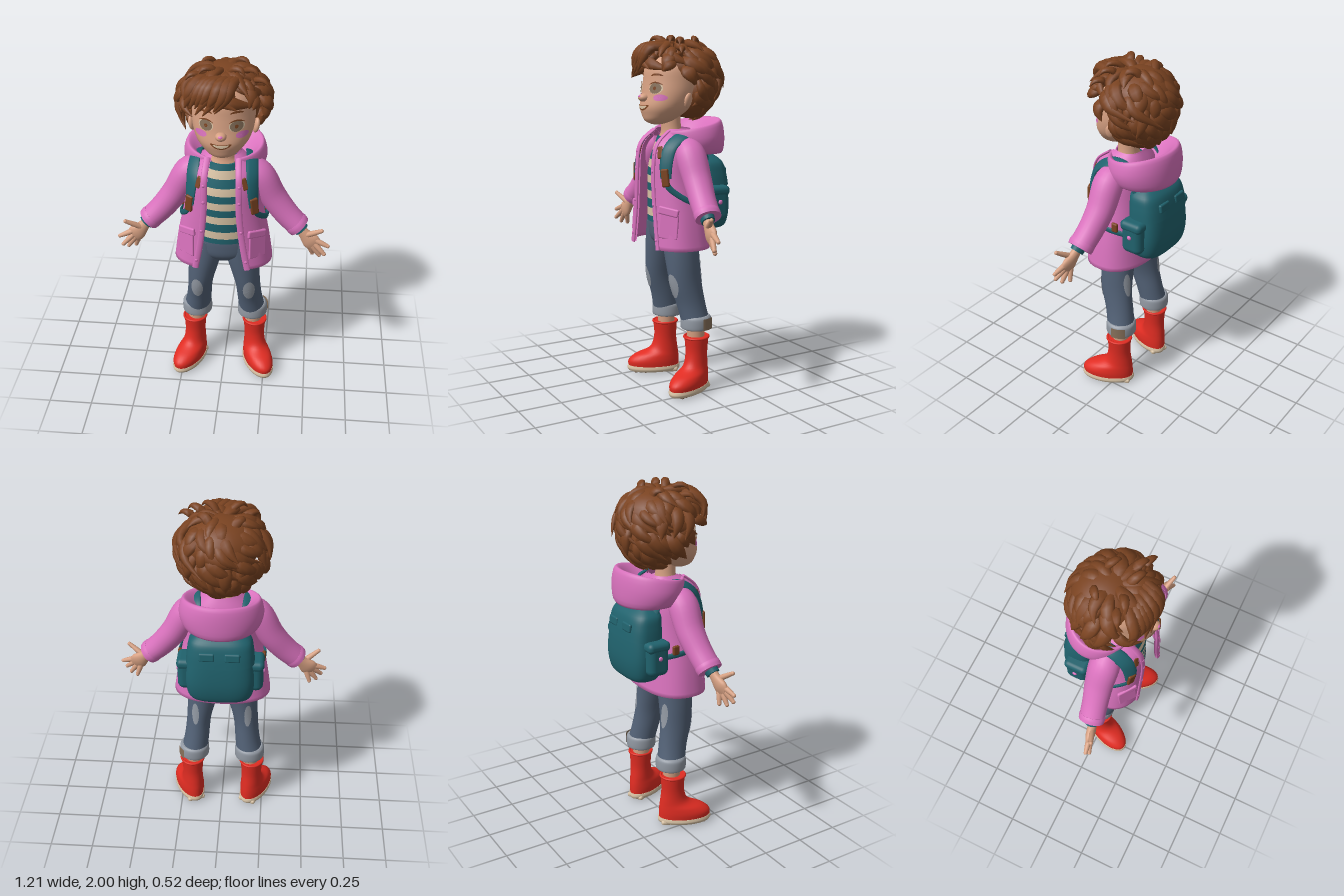
import * as THREE from 'three';
import { mergeGeometries } from 'three/addons/utils/BufferGeometryUtils.js';
import { RoundedBoxGeometry } from 'three/addons/geometries/RoundedBoxGeometry.js';

const paint = (name, color) => new THREE.MeshStandardMaterial({ name, color, side: THREE.DoubleSide });
const V = (x, y, z) => new THREE.Vector3(x, y, z);
const { sin, cos, PI } = Math;
const spow = (v, e) => Math.sign(v) * Math.abs(v) ** e;

// Surface through a list of rings
function loft(rings, closed = true, caps = closed) {
  const n = rings[0].length, pos = [], idx = [];
  const add = r => r.forEach(p => pos.push(p.x, p.y, p.z));
  rings.forEach(add);
  for (let i = 0; i < rings.length - 1; i++) for (let j = 0; j < (closed ? n : n - 1); j++) {
    const a = i * n + j, b = i * n + (j + 1) % n;
    idx.push(a, b, b + n, a, b + n, a + n);
  }
  if (caps) [rings[0], rings[rings.length - 1]].forEach((ring, top) => {
    const base = pos.length / 3, mid = V(0, 0, 0);
    ring.forEach(p => mid.addScaledVector(p, 1 / n));
    add(ring); add([mid]);
    for (let j = 0; j < n; j++) {
      const k = (j + 1) % n;
      idx.push(base + n, base + (top ? j : k), base + (top ? k : j));
    }
  });
  const g = new THREE.BufferGeometry();
  g.setAttribute('position', new THREE.Float32BufferAttribute(pos, 3));
  g.setIndex(idx);
  g.computeVertexNormals();
  return g;
}

// Smooth interpolation between rows of numbers
function blend(rows, steps) {
  const at = q => rows[Math.max(0, Math.min(rows.length - 1, q))];
  return Array.from({ length: steps + 1 }, (_, k) => {
    const t = k / steps * (rows.length - 1), i = Math.min(Math.floor(t), rows.length - 2), f = t - i;
    return rows[0].map((_, c) => {
      const a = at(i - 1)[c], b = at(i)[c], d = at(i + 1)[c], e = at(i + 2)[c];
      return b + 0.5 * f * (d - a + f * (2 * a - 5 * b + 4 * d - e + f * (3 * (b - d) + e - a)));
    });
  });
}

// Tube of rows [x, y, z, radius along ref, radius across]; flat keeps rings level
function tube(rows, { steps = 16, seg = 24, flat = false, ref = () => V(0, 0, 1), power = 2 } = {}) {
  const pts = blend(rows, steps), P = pts.map(r => V(r[0], r[1], r[2]));
  return loft(pts.map((r, i) => {
    const T = flat ? V(0, 1, 0) : P[Math.min(i + 1, steps)].clone().sub(P[Math.max(i - 1, 0)]).normalize();
    const N = ref(P[i]);
    N.addScaledVector(T, -N.dot(T)).normalize();
    const B = T.clone().cross(N);
    return Array.from({ length: seg }, (_, j) => {
      const a = j / seg * 2 * PI;
      return P[i].clone().addScaledVector(N, r[3] * spow(cos(a), 2 / power)).addScaledVector(B, r[4] * spow(sin(a), 2 / power));
    });
  }));
}
const body = (rows, o) => tube(rows, { flat: true, seg: 32, ...o });

// Thin oval laid on the front (side 1) or back (side -1) of a level tube
function decal(rows, x, y, w, h, { side = 1, lift = 0.004, bend = 0 } = {}) {
  const fine = blend(rows, 200), g = new THREE.RingGeometry(0, 1, 28, 5), p = g.attributes.position;
  for (let i = 0; i < p.count; i++) {
    const dx = p.getX(i) * w, px = x + dx, py = y + p.getY(i) * h + bend * dx * dx;
    const r = fine.reduce((a, b) => Math.abs(b[1] - py) < Math.abs(a[1] - py) ? b : a);
    const u = (px - r[0]) / r[4];
    p.setXYZ(i, px, py, r[2] + side * (r[3] * Math.sqrt(Math.max(0, 1 - u * u)) + lift));
  }
  if (side < 0) g.index.array.reverse();
  g.computeVertexNormals();
  return g;
}

export function createModel() {
  const skin = paint('skin', 0xd6a082), hair = paint('brown', 0x7a4321), pink = paint('pink', 0xd972bd),
    teal = paint('teal', 0x20626d), cream = paint('cream', 0xd8c2a4), denim = paint('denim', 0x536277),
    pale = paint('paleDenim', 0x9299a3), red = paint('red', 0xe02c22), taupe = paint('taupe', 0x86705a);
  const model = new THREE.Group();
  let target = model;
  const put = (name, geo, mat, pos = [0, 0, 0], rot = [0, 0, 0], scale = [1, 1, 1]) => {
    const m = new THREE.Mesh(geo, mat);
    m.name = name;
    m.position.set(...pos); m.rotation.set(...rot); m.scale.set(...scale);
    target.add(m);
  };
  const ball = (name, mat, pos, scale, rot) => put(name, new THREE.SphereGeometry(1, 28, 18), mat, pos, rot, scale);
  const box = (name, mat, size, pos, rot) =>
    put(name, new RoundedBoxGeometry(...size, 3, Math.min(...size) * 0.45), mat, pos, rot);

  // Head and face
  const head = [[0, 1.515, 0.14, 0.03, 0.03], [0, 1.535, 0.128, 0.08, 0.075], [0, 1.57, 0.108, 0.114, 0.115],
    [0, 1.615, 0.082, 0.148, 0.148], [0, 1.68, 0.062, 0.153, 0.166], [0, 1.75, 0.045, 0.16, 0.168],
    [0, 1.83, 0.03, 0.163, 0.163], [0, 1.9, 0.02, 0.12, 0.13]];
  put('head', body(head, { steps: 30 }), skin);
  put('neck', body([[0, 1.36, 0.045, 0.07, 0.1], [0, 1.43, 0.05, 0.067, 0.085], [0, 1.48, 0.05, 0.056, 0.062], [0, 1.58, 0.055, 0.055, 0.055]]), skin);
  ball('nose', skin, [0, 1.663, 0.221], [0.03, 0.023, 0.034]);
  ball('noseBlush', pink, [0, 1.669, 0.244], [0.014, 0.01, 0.011]);
  put('mouth', decal(head, 0, 1.606, 0.056, 0.013, { bend: 5 }), hair);
  put('teeth', decal(head, 0, 1.609, 0.043, 0.008, { bend: 5, lift: 0.006 }), cream);
  for (const s of [1, -1]) {
    put('eyeWhite', decal(head, s * 0.08, 1.715, 0.04, 0.03), cream);
    put('iris', decal(head, s * 0.08, 1.715, 0.034, 0.029, { lift: 0.006 }), taupe);
    put('pupil', decal(head, s * 0.08, 1.715, 0.009, 0.01, { lift: 0.008 }), hair);
    put('upperLid', decal(head, s * 0.08, 1.747, 0.04, 0.004, { lift: 0.007, bend: -9 }), hair);
    put('eyebrow', decal(head, s * 0.08, 1.79, 0.035, 0.006, { bend: -6 }), hair);
    put('blush', decal(head, s * 0.108, 1.665, 0.032, 0.018), pink);
    ball('ear', skin, [s * 0.172, 1.65, 0.04], [0.016, 0.042, 0.028], [0, s * 0.4, -s * 0.2]);
  }

  // Hair: two masses covered by tiers of tousled locks
  ball('hairCrown', hair, [0, 1.82, -0.03], [0.2, 0.15, 0.19]);
  ball('hairBack', hair, [0, 1.69, -0.07], [0.19, 0.15, 0.13]);
  let seed = 7;
  const rnd = () => (seed = (seed * 16807) % 2147483647) / 2147483647;
  const centre = V(0, 1.77, 0.008), locks = [], outward = p => p.clone().sub(centre);
  const addLock = rows => locks.push(tube(rows, { steps: 10, seg: 8, ref: outward }));
  const limit = a => {
    const b = Math.abs(a);
    if (a > -0.1 && a < 0.65) return 1.2;
    return b < 0.8 ? 1.35 : b < 1.6 ? 1.35 + (b - 0.8) * 0.75 : b < 2 ? 2.3 : 2.75;
  };
  for (const [p0, count, reach] of [[0.05, 9, 0.8], [0.4, 15, 0.75], [0.7, 19, 0.72], [1.05, 22, 0.68], [1.4, 22, 0.65], [1.75, 22, 0.62], [2.1, 18, 0.58]])
    for (let i = 0; i < count; i++) {
      const a = (i + rnd() * 0.8) / count * 2 * PI - PI, p = p0 + rnd() * 0.25, end = limit(a);
      const swirl = 0.35 + (rnd() - 0.5) * 1.3, flick = rnd() ** 2 * 0.2, w = 0.026 + rnd() * 0.016, rise = rnd() * 0.07;
      if (p > end - 0.3) continue;
      const len = Math.min(reach * (0.8 + rnd() * 0.4), end - p);
      addLock([0, 0.33, 0.67, 1].map((t, k) => {
        const q = p + len * t, b = a + swirl * t * t, f = [0.5, 1, 0.75, 0.06][k];
        const R = 0.9 + (0.1 + rise) * sin(t * 2.3) + flick * t ** 3, side = q > 2 ? 0.94 : 1;
        return [0.233 * R * side * sin(q) * sin(b), centre.y + (q > 1.57 ? 0.235 : 0.2) * R * cos(q),
          centre.z + 0.222 * R * sin(q) * cos(b), 0.024 * f, w * f];
      }));
    }
  for (let i = 0; i < 10; i++) { // swept fringe, fuller on the right
    const s = i / 9, j = rnd() - 0.5, d = 0.05 * s * s;
    addLock([[0.09 - 0.13 * s, 1.94 - 0.01 * s, 0.09, 0.014, 0.022], [0.05 - 0.17 * s, 1.94 + 0.02 * j, 0.195 - d, 0.026, 0.032],
      [0.03 - 0.2 * s + 0.03 * j, 1.885 + 0.03 * j, 0.238 - d + 0.02 * j, 0.02, 0.027], [-0.02 - 0.17 * s + 0.07 * j, 1.81 + 0.05 * j, 0.245 - 1.6 * d, 0.002, 0.003]]);
  }
  for (const [x, y, z, dx] of [[0.02, 1.955, 0.06, 0.07], [0.09, 1.945, 0.04, 0.07], [0.13, 1.9, 0.06, 0.08], [-0.03, 1.955, 0.06, -0.07],
    [-0.1, 1.915, 0.05, -0.07], [0.05, 1.95, -0.08, 0.06], [-0.06, 1.94, -0.09, -0.05]]) // curls springing off the crown
    addLock([[x, y - 0.03, z, 0.016, 0.024], [x + dx * 0.4, y + 0.022, z + 0.02, 0.018, 0.026],
      [x + dx, y + 0.032, z + 0.045, 0.012, 0.018], [x + dx * 1.35, y + 0.005, z + 0.06, 0.002, 0.002]]);
  put('hairLocks', mergeGeometries(locks), hair);

  // Striped shirt
  const shirt = blend([[0, 0.965, 0.04, 0.135, 0.18], [0, 1.125, 0.04, 0.135, 0.17], [0, 1.285, 0.04, 0.13, 0.16], [0, 1.445, 0.045, 0.08, 0.09]], 22);
  for (let i = 0; i < 11; i++) put('shirtStripe', body(shirt.slice(2 * i, 2 * i + 3), { steps: 2 }), i % 2 ? cream : teal);

  // Open coat: rows [y, half width, front z, back z, half opening]
  const coat = blend([[0.832, 0.28, 0.235, -0.125, 0.135], [1.0, 0.255, 0.228, -0.11, 0.105], [1.2, 0.215, 0.228, -0.1, 0.085],
    [1.34, 0.2, 0.222, -0.09, 0.083], [1.42, 0.165, 0.198, -0.08, 0.08], [1.49, 0.095, 0.12, -0.05, 0.07]], 25);
  const coatRing = inset => ([y, w, f, b, e]) => {
    const a0 = Math.asin((e / w) ** 1.2), cz = (f + b) / 2, rz = (f - b) / 2 - inset;
    return Array.from({ length: 49 }, (_, j) => {
      const a = a0 + (2 * PI - 2 * a0) * j / 48;
      return V((w - inset) * spow(sin(a), 1 / 1.2), y, cz + rz * spow(cos(a), 1 / 1.2));
    });
  };
  const outer = coat.map(coatRing(0));
  put('coat', loft([...coat.map(coatRing(0.014)).reverse(), ...outer], false), pink);

  // Hood lying on the back: rows [y, centre z, half width, half depth, tilt]
  const hood = blend([[1.36, -0.04, 0.15, 0.12, 0], [1.36, -0.065, 0.205, 0.178, -0.06], [1.425, -0.065, 0.232, 0.19, 0.06],
    [1.495, -0.055, 0.214, 0.184, 0.18], [1.49, -0.045, 0.185, 0.155, 0.18], [1.44, -0.02, 0.13, 0.12, 0.08], [1.4, 0, 0.09, 0.08, 0]], 24);
  put('hood', loft(hood.map(([y, cz, w, d, tilt]) => Array.from({ length: 45 }, (_, j) => {
    const a = 0.42 + (2 * PI - 0.84) * j / 44, z = cz + d * cos(a);
    return V(w * sin(a), y - tilt * z, z);
  })), false), pink);

  // Jeans seat
  put('jeansSeat', body([[0, 0.81, 0.042, 0.07, 0.07], [0, 0.86, 0.042, 0.112, 0.18], [0, 0.93, 0.04, 0.125, 0.19], [0, 0.985, 0.04, 0.125, 0.178]]), denim);

  // Backpack
  const pack = [[0, 0.915, -0.15, 0.06, 0.12], [0, 0.945, -0.155, 0.09, 0.175], [0, 1.05, -0.157, 0.105, 0.193],
    [0, 1.2, -0.15, 0.098, 0.18], [0, 1.29, -0.133, 0.085, 0.165], [0, 1.33, -0.125, 0.055, 0.12]];
  put('backpack', body(pack, { steps: 24, power: 3, seg: 40 }), teal);
  put('backpackFlap', body([[0, 1.17, -0.152, 0.107, 0.19], [0, 1.24, -0.145, 0.101, 0.183], [0, 1.3, -0.135, 0.09, 0.168], [0, 1.34, -0.125, 0.055, 0.12]],
    { power: 3, seg: 40 }), teal);

  // Left side parts, then mirrored
  const left = target = new THREE.Group();
  left.name = 'leftSide';
  put('sleeve', tube([[0.12, 1.41, 0.035, 0.06, 0.055], [0.195, 1.355, 0.04, 0.085, 0.08], [0.27, 1.225, 0.04, 0.08, 0.075],
    [0.345, 1.125, 0.052, 0.073, 0.07], [0.425, 1.045, 0.066, 0.072, 0.064]], { steps: 20 }), pink);
  put('sleeveHem', tube([[0.4, 1.07, 0.062, 0.073, 0.066], [0.413, 1.057, 0.064, 0.075, 0.068], [0.428, 1.042, 0.066, 0.073, 0.065]]), pink);
  put('shirtCuff', tube([[0.41, 1.06, 0.07, 0.04, 0.045], [0.443, 1.026, 0.076, 0.036, 0.042]]), teal);
  put('palm', tube([[0.42, 1.05, 0.075, 0.024, 0.027], [0.455, 1.008, 0.082, 0.025, 0.033], [0.495, 0.965, 0.09, 0.024, 0.05], [0.522, 0.938, 0.095, 0.014, 0.042]]), skin);
  for (const [a, b] of [[[0.522, 0.972, 0.095], [0.592, 0.945, 0.108]], [[0.518, 0.95, 0.098], [0.573, 0.898, 0.12]],
    [[0.505, 0.935, 0.095], [0.546, 0.876, 0.098]], [[0.486, 0.935, 0.088], [0.507, 0.873, 0.075]], [[0.465, 1.0, 0.09], [0.552, 1.055, 0.125]]]) {
    const mid = a.map((v, i) => (v + b[i]) / 2);
    put('finger', tube([[...a, 0.017, 0.017], [...mid, 0.015, 0.015], [...b, 0.011, 0.011]], { seg: 12, steps: 8 }), skin);
    ball('fingertip', skin, b, [0.0115, 0.0115, 0.0115]);
  }
  // Coat trim
  put('placket', tube(outer.filter((_, i) => i % 3 === 0).map(r => [r[0].x + 0.012, r[0].y, r[0].z - 0.001, 0.008, 0.018]), { steps: 24, seg: 12 }), pink);
  for (const i of [2, 7, 12, 16]) ball('button', pink, [outer[i][0].x + 0.014, outer[i][0].y, outer[i][0].z + 0.006], [0.009, 0.009, 0.005]);
  box('coatPocket', pink, [0.11, 0.14, 0.014], [0.198, 0.97, 0.177], [-0.08, 0.68, 0]);
  box('coatPocketFlap', pink, [0.12, 0.045, 0.02], [0.194, 1.05, 0.176], [-0.08, 0.68, -0.12]);
  // Backpack straps and side pocket
  const around = p => V(p.x * 0.8, p.y - 1.22, p.z - 0.02);
  put('shoulderStrap', tube([[0.13, 1.32, -0.11, 0.009, 0.032], [0.142, 1.44, -0.05, 0.009, 0.034], [0.155, 1.462, 0.05, 0.009, 0.037],
    [0.161, 1.405, 0.141, 0.01, 0.04], [0.168, 1.32, 0.175, 0.01, 0.038], [0.176, 1.23, 0.183, 0.009, 0.032]], { steps: 24, seg: 12, ref: around }), teal);
  put('lowerStrap', tube([[0.176, 1.25, 0.184, 0.007, 0.017], [0.192, 1.18, 0.172, 0.007, 0.017], [0.236, 1.11, 0.08, 0.007, 0.016],
    [0.243, 1.09, 0, 0.007, 0.016], [0.2, 1.07, -0.12, 0.007, 0.016]], { steps: 20, seg: 10, ref: p => V(p.x, 0, p.z - 0.04) }), teal);
  box('strapTab', hair, [0.034, 0.07, 0.018], [0.122, 1.368, 0.186], [-0.3, 0.35, 0.35]);
  box('strapBuckle', hair, [0.046, 0.1, 0.02], [0.178, 1.235, 0.188], [0, 0.5, 0.12]);
  box('strapSlider', hair, [0.02, 0.055, 0.04], [0.238, 1.115, -0.03]);
  box('sidePocket', teal, [0.085, 0.19, 0.13], [0.197, 1.07, -0.13]);
  box('sidePocketFlap', teal, [0.093, 0.06, 0.14], [0.197, 1.145, -0.13]);
  ball('pocketStud', pink, [0.241, 1.085, -0.13], [0.008, 0.013, 0.013]);
  box('flapTab', teal, [0.085, 0.05, 0.022], [0.07, 1.24, -0.241], [0.12, 0, 0]);

  // Leg, cuff and boot
  const leg = [[0.168, 0.39, -0.015, 0.082, 0.08], [0.152, 0.5, 0.008, 0.085, 0.073], [0.14, 0.62, 0.035, 0.095, 0.073],
    [0.12, 0.75, 0.045, 0.1, 0.087], [0.1, 0.86, 0.045, 0.105, 0.098], [0.09, 0.95, 0.04, 0.11, 0.095]];
  put('jeansLeg', body(leg, { steps: 24 }), denim);
  put('kneePatch', decal(leg, 0.152, 0.615, 0.035, 0.07), pale);
  put('backPatch', decal(leg, 0.155, 0.69, 0.021, 0.075, { side: -1 }), pale);
  put('jeansCuff', body([[0.168, 0.358, -0.015, 0.074, 0.076], [0.168, 0.367, -0.015, 0.087, 0.088], [0.168, 0.42, -0.015, 0.087, 0.088],
    [0.166, 0.437, -0.014, 0.078, 0.078]]), pale);
  put('ankle', new THREE.CylinderGeometry(0.052, 0.05, 0.09, 24), skin, [0.172, 0.335, -0.012]);
  const boot = target = new THREE.Group();
  boot.name = 'boot';
  boot.position.set(0.183, 0, -0.01);
  boot.rotation.y = 0.41;
  left.add(boot);
  put('bootUpper', body([[0, 0.03, 0.07, 0.152, 0.076], [0, 0.07, 0.071, 0.153, 0.08], [0, 0.105, 0.052, 0.132, 0.075], [0, 0.145, 0.01, 0.085, 0.063],
    [0, 0.22, 0, 0.067, 0.06], [0, 0.315, 0, 0.072, 0.068]], { steps: 28 }), red);
  put('bootRim', new THREE.TorusGeometry(0.069, 0.007, 10, 32), red, [0, 0.312, 0], [PI / 2, 0, 0], [0.98, 1.03, 1]);
  put('bootSole', body([[0, 0.01, 0.07, 0.154, 0.077], [0, 0.025, 0.071, 0.16, 0.083], [0, 0.042, 0.071, 0.156, 0.08]]), cream);
  box('bootHeel', cream, [0.11, 0.03, 0.085], [0, 0.015, -0.03]);
  for (let i = 0; i < 5; i++) box('tread', taupe, [0.12 - 0.012 * Math.abs(i - 1.5), 0.016, 0.024], [0, 0.008, 0.06 + 0.03 * i]);

  const right = left.clone();
  right.name = 'rightSide';
  right.scale.x = -1;
  model.add(left, right);

  // Mending patch on the left cuff only
  target = model;
  put('cuffPatch', new THREE.CylinderGeometry(0.094, 0.094, 0.066, 16, 1, true, 1.5, 0.95), taupe, [0.168, 0.396, -0.015]);
  return model;
}
